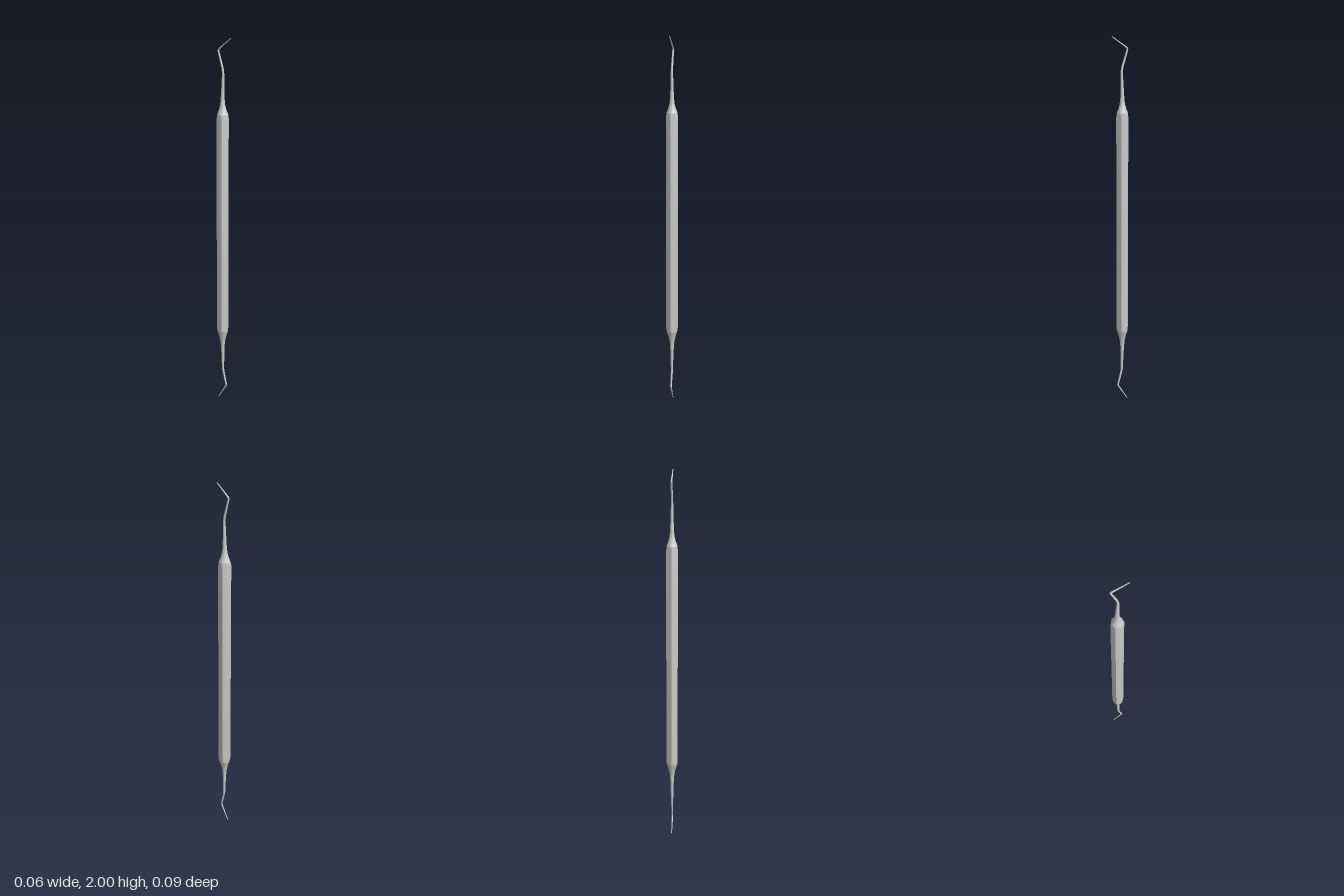
import * as THREE from 'three';
import { toCreasedNormals } from 'three/addons/utils/BufferGeometryUtils.js';

const SIDES = 36;
const FLAT = 0.0295; // distance from the axis to a flat of the hexagonal grip
const AXIS = -0.0135; // z of the grip's axis

// Distance from the axis to the hexagon at an angle; corners point to +z and -z
function hexRadius(angle) {
  const step = Math.PI / 3;
  return FLAT / Math.cos(angle - Math.round(angle / step) * step);
}

// Loft along [y, z, radius] stations from bottom to top, mitred at the bends.
// Each section is a circle trimmed by the hexagon.
function loft(name, stations, material) {
  const centres = stations.map(([y, z]) => new THREE.Vector3(0, y, z));
  const positions = [];
  const index = [];
  const last = centres.length - 1;

  centres.forEach((c, i) => {
    const before = new THREE.Vector3().subVectors(c, centres[Math.max(i - 1, 0)]).normalize();
    const after = new THREE.Vector3().subVectors(centres[Math.min(i + 1, last)], c).normalize();
    const t = before.clone().add(after).normalize();
    const miter = 1 / t.dot(i === 0 ? after : before);
    for (let j = 0; j < SIDES; j++) {
      const a = (j / SIDES) * Math.PI * 2;
      const r = Math.min(stations[i][2], hexRadius(a));
      const n = Math.sin(a) * r * miter;
      positions.push(Math.cos(a) * r, c.y + t.z * n, c.z - t.y * n);
    }
  });

  for (let i = 0; i < last; i++) {
    for (let j = 0; j < SIDES; j++) {
      const k = (j + 1) % SIDES;
      const a = i * SIDES + j, b = i * SIDES + k;
      index.push(a, b, b + SIDES, a, b + SIDES, a + SIDES);
    }
  }

  // End caps
  const bottom = positions.length / 3;
  positions.push(...centres[0].toArray(), ...centres[last].toArray());
  for (let j = 0; j < SIDES; j++) {
    const k = (j + 1) % SIDES;
    index.push(bottom, k, j, bottom + 1, last * SIDES + j, last * SIDES + k);
  }

  const geometry = new THREE.BufferGeometry();
  geometry.setAttribute('position', new THREE.Float32BufferAttribute(positions, 3));
  geometry.setIndex(index);
  const mesh = new THREE.Mesh(toCreasedNormals(geometry, 0.3), material);
  mesh.name = name;
  return mesh;
}

export function createModel() {
  const group = new THREE.Group();
  group.name = 'doubleEndedProbe';
  const metal = new THREE.MeshStandardMaterial({ color: 0xcccccc });

  // Hexagonal grip with corners rounded off by the cone at both ends
  group.add(loft('handle', [
    [0.41, AXIS, FLAT], [0.43, AXIS, 0.0341], [1.59, AXIS, 0.0341], [1.61, AXIS, FLAT],
  ], metal));

  // Upper taper, bent neck and long hooked tip
  group.add(loft('upperShank', [
    [1.61, AXIS, FLAT], [1.635, AXIS, 0.02], [1.66, AXIS, 0.0135], [1.69, AXIS, 0.0105],
    [1.75, -0.012, 0.008], [1.81, -0.01, 0.0065], [1.83, -0.011, 0.006], [1.85, -0.015, 0.0057],
    [1.93, -0.0405, 0.0047], [1.938, -0.0415, 0.0045], [1.944, -0.037, 0.0043],
    [1.998, 0.0435, 0.0022],
  ], metal));

  // Lower taper, bent neck and short hooked tip
  group.add(loft('lowerShank', [
    [0.002, -0.0435, 0.0022], [0.082, 0.0085, 0.0043], [0.09, 0.0115, 0.0045],
    [0.098, 0.01, 0.0047], [0.16, -0.0065, 0.0057], [0.18, -0.0105, 0.006],
    [0.2, -0.0115, 0.0065], [0.26, -0.0125, 0.008], [0.32, AXIS, 0.0105],
    [0.35, AXIS, 0.0135], [0.38, AXIS, 0.02], [0.41, AXIS, FLAT],
  ], metal));

  return group;
}
